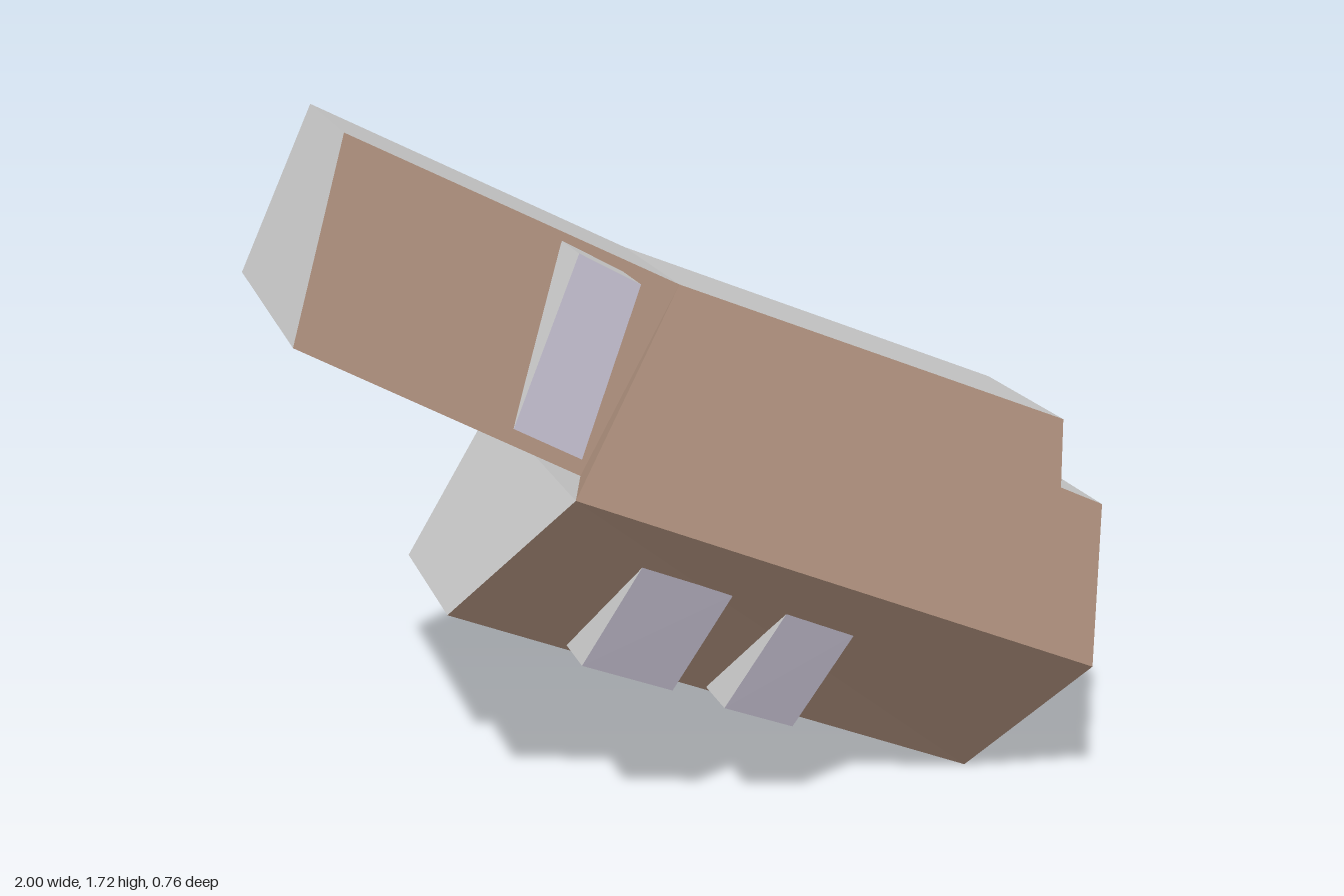
import * as THREE from 'three';

const mat = (name, color) => new THREE.MeshStandardMaterial({ name, color, side: THREE.DoubleSide });

// Flat-sided mesh from polygons, each fanned from its first corner
function faces(name, material, polygons) {
  const points = [];
  for (const p of polygons)
    for (let i = 1; i < p.length - 1; i++) points.push(...p[0], ...p[i], ...p[i + 1]);
  const geometry = new THREE.BufferGeometry();
  geometry.setAttribute('position', new THREE.Float32BufferAttribute(points, 3));
  geometry.computeVertexNormals();
  const mesh = new THREE.Mesh(geometry, material);
  mesh.name = name;
  return mesh;
}

export function createModel() {
  const group = new THREE.Group();
  group.name = 'house';
  const wall = mat('wall grey', 0xcccccc);
  const roof = mat('roof brown', 0xa68977);
  const pane = mat('dormer lavender', 0xbdb8c8);
  const BASE = -0.38;

  // Footprint corners, with the roof height of each as z
  const A = [-0.82, 1.72, 0.035], B = [-0.07, 1.33, 0.035], C = [0.94, 0.905, 0.035];
  const D = [0.885, 0.765, 0.14], E = [1, 0.71, 0.145], F = [0.86, 0.39, 0.385];
  const G = [0.7, 0, 0.045], H = [-0.64, 0.595, 0.04], I = [-0.42, 0.955, 0.365];
  const J = [-0.4, 1, 0.335], K = [-1, 1.34, 0.335];
  const low = ([x, y]) => [x, y, BASE];

  // Walls around the footprint
  const ring = [A, K, J, I, H, G, F, E, D, C, B];
  group.add(faces('walls', wall, ring.map((p, i) => {
    const q = ring[(i + 1) % ring.length];
    return [low(p), low(q), q, p];
  })));

  // Floor closes only the part below the ridge
  group.add(faces('floor', wall, [[low(I), low(F), low(G), low(H)]]));

  // Roof slopes
  group.add(faces('wingRoof', roof, [[A, K, J, B]]));
  group.add(faces('upperRoof', roof, [[B, J, I], [B, I, F], [B, F, D], [B, D, C], [F, E, D]]));
  group.add(faces('lowerRoof', roof, [[I, H, G, F]]));

  // Dormers: two eave corners, then two ridge corners, open underneath
  const dormer = (name, corners, eaveZ, ridgeZ) => {
    const top = corners.map(([x, y], i) => [x, y, i < 2 ? eaveZ : ridgeZ]);
    const bottom = top.map(([x, y, z]) => [x, y, z - 0.135]);
    const side = (i, j) => [bottom[i], bottom[j], top[j], top[i]];
    const part = new THREE.Group();
    part.name = name;
    part.add(faces('dormerTop', pane, [top]));
    part.add(faces('dormerSides', wall, [side(3, 0), side(0, 1), side(1, 2)]));
    group.add(part);
  };
  dormer('wingDormer', [[-0.21, 1.375], [-0.35, 1.455], [-0.54, 1.115], [-0.39, 1.03]], 0.185, 0.315);
  dormer('lowerDormerRight', [[-0.36, 0.485], [-0.14, 0.39], [-0.025, 0.65], [-0.24, 0.75]], 0.18, 0.275);
  dormer('lowerDormerLeft', [[-0.01, 0.325], [0.165, 0.25], [0.28, 0.51], [0.11, 0.59]], 0.18, 0.275);
  return group;
}
